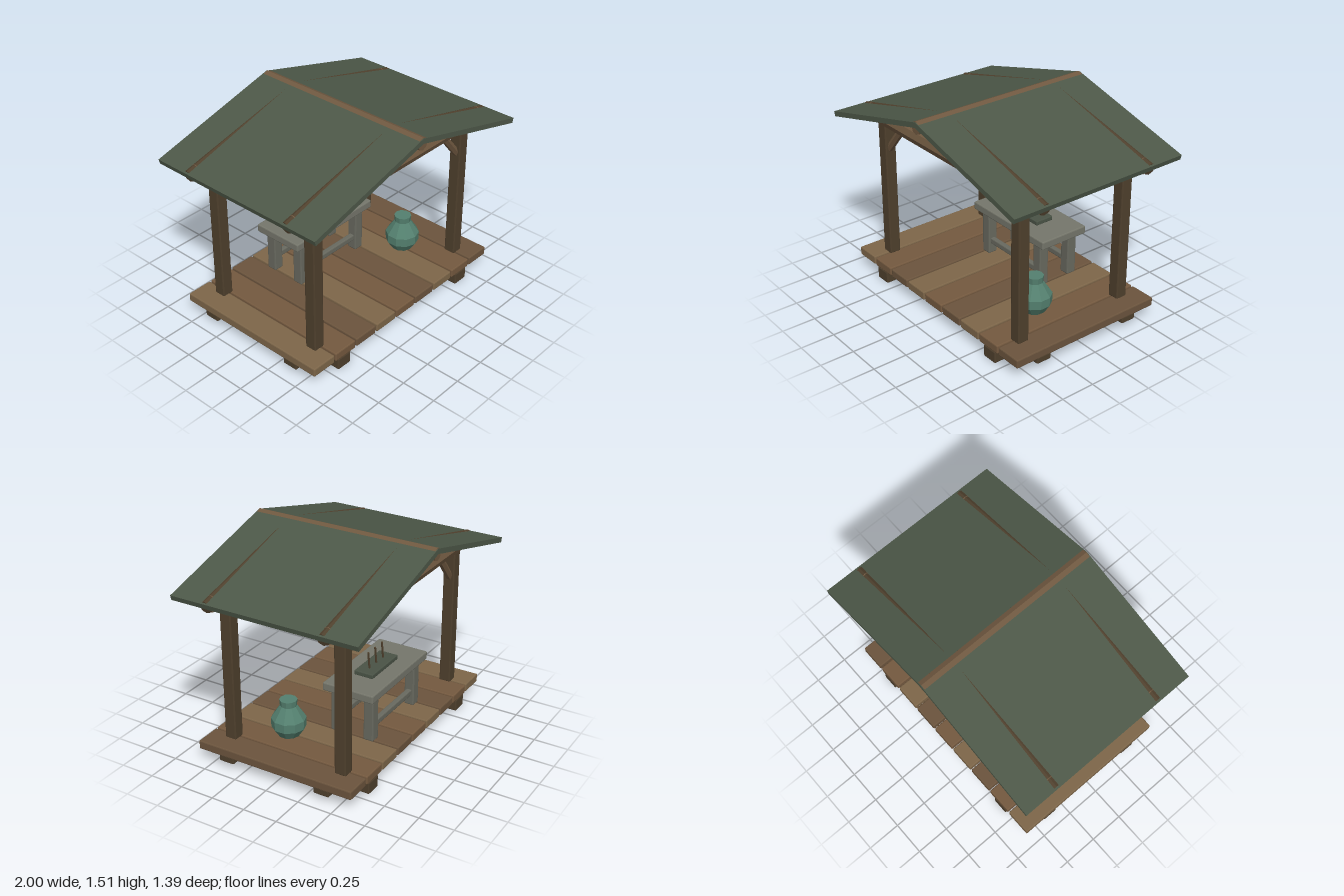
import * as THREE from 'three';
import { RoundedBoxGeometry } from 'three/addons/geometries/RoundedBoxGeometry.js';

const mat = (color) => new THREE.MeshStandardMaterial({ color, flatShading: true });
const WOOD = mat(0x6f5840);
const DARK = mat(0x4f402d);
const PLANKS = [mat(0x7d6649), mat(0x6b543d), mat(0x74593f)];
const ROOF = mat(0x4d5848);
const STONE = mat(0x75766b);
const LEGS = mat(0x68695f);
const TRAY = mat(0x4a5346);
const JAR = mat(0x54806f);

export function createModel() {
  const model = new THREE.Group();

  const add = (name, geometry, material, parent = model) => {
    const mesh = new THREE.Mesh(geometry, material);
    mesh.name = name;
    parent.add(mesh);
    return mesh;
  };

  // Box with a narrow chamfer, given by size and centre
  const block = (name, size, pos, material, parent, bevel = 0.008) => {
    const mesh = add(name, new RoundedBoxGeometry(...size, 1, bevel), material, parent);
    mesh.position.set(...pos);
    return mesh;
  };

  // Faceted pole between two points, one corner pointing up
  const pole = (name, from, to, r0, r1, sides, material, parent) => {
    const a = new THREE.Vector3(...from), b = new THREE.Vector3(...to);
    const dir = b.clone().sub(a);
    const length = dir.length();
    const mesh = add(name, new THREE.CylinderGeometry(r1, r0, length, sides), material, parent);
    mesh.quaternion.setFromUnitVectors(new THREE.Vector3(0, 1, 0), dir.normalize());
    mesh.position.copy(a).add(b).multiplyScalar(0.5);
    return mesh;
  };

  // Deck: nine planks over cross battens and two runners
  const deck = new THREE.Group();
  deck.name = 'deck';
  model.add(deck);
  for (let i = 0; i < 9; i++) {
    block('plank', [0.192, 0.063, 1.2], [(i - 4) * 0.206, 0.1185, 0], PLANKS[(i * 2) % 3], deck);
  }
  for (const s of [-1, 1]) {
    block('runner', [0.12, 0.088, 1.2], [s * 0.63, 0.044, 0], DARK, deck);
    block('crossBatten', [1.84, 0.05, 0.115], [0, 0.073, s * 0.375], DARK, deck);
  }

  // Timber frame, mirrored front to back and left to right
  const frame = new THREE.Group();
  frame.name = 'frame';
  model.add(frame);
  for (const sz of [-1, 1]) {
    const z = sz * 0.435;
    pole('headerBeam', [-0.92, 1.21, z], [0.92, 1.21, z], 0.06, 0.06, 8, WOOD, frame);
    for (const sx of [-1, 1]) {
      block('post', [0.085, 1.04, 0.085], [sx * 0.74, 0.665, z], DARK, frame);
      pole('brace', [sx * 0.735, 0.96, z], [sx * 0.55, 1.18, z], 0.027, 0.027, 6, WOOD, frame);
      pole('rafter', [sx * 0.975, 1.208, z], [0, 1.463, z], 0.045, 0.041, 8, DARK, frame);
    }
  }
  pole('ridgePole', [0, 1.465, -0.69], [0, 1.465, 0.69], 0.046, 0.046, 8, WOOD, frame);

  // Roof: folded sheet with square-cut eaves
  const fold = new THREE.Shape([
    [0, 1.506], [-1, 1.24], [-0.99, 1.205], [0, 1.468], [0.99, 1.205], [1, 1.24],
  ].map(([x, y]) => new THREE.Vector2(x, y)));
  const roof = add('roof', new THREE.ExtrudeGeometry(fold, { depth: 1.39, bevelEnabled: false }), ROOF);
  roof.position.z = -0.695;

  // Table with stretchers along its long sides
  const table = new THREE.Group();
  table.name = 'table';
  table.position.z = -0.25;
  model.add(table);
  block('tableTop', [0.77, 0.06, 0.39], [0, 0.505, 0], STONE, table);
  for (const sz of [-1, 1]) {
    block('stretcher', [0.52, 0.045, 0.04], [0, 0.25, sz * 0.1275], LEGS, table);
    for (const sx of [-1, 1]) {
      block('tableLeg', [0.075, 0.33, 0.075], [sx * 0.2875, 0.313, sz * 0.1275], LEGS, table);
    }
  }

  // Tray holding three leaning sticks
  block('tray', [0.35, 0.034, 0.145], [0, 0.549, 0], TRAY, table, 0.006);
  for (let i = -1; i <= 1; i++) {
    const x = i * 0.093;
    pole('stick', [x - 0.002, 0.555, 0], [x + 0.018, 0.69, 0], 0.008, 0.008, 6, DARK, table);
  }

  // Jar
  const profile = [[0, 0], [0.076, 0], [0.12, 0.065], [0.122, 0.13], [0.058, 0.225], [0.062, 0.27], [0, 0.27]]
    .map(([r, y]) => new THREE.Vector2(r, y));
  const jar = add('jar', new THREE.LatheGeometry(profile, 10), JAR);
  jar.position.set(0.525, 0.15, 0.13);

  return model;
}
